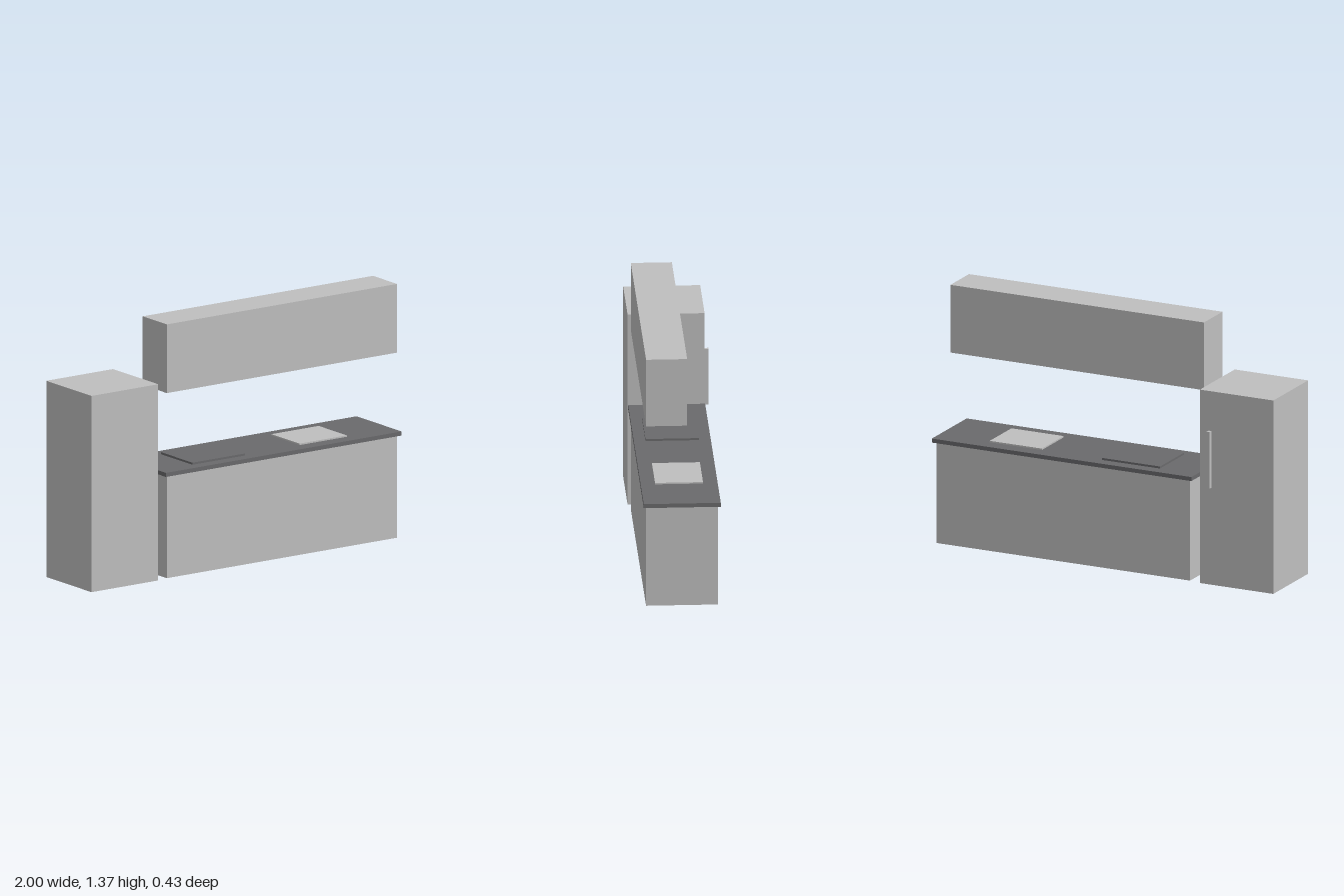
import * as THREE from 'three';

const light = new THREE.MeshStandardMaterial({ color: 0xbfbfbf });
light.name = 'light grey';
const dark = new THREE.MeshStandardMaterial({ color: 0x6a6a6c });
dark.name = 'dark grey';

// Box given by its extents on each axis
function box(name, material, [x0, x1], [y0, y1], [z0, z1]) {
  const mesh = new THREE.Mesh(new THREE.BoxGeometry(x1 - x0, y1 - y0, z1 - z0), material);
  mesh.position.set((x0 + x1) / 2, (y0 + y1) / 2, (z0 + z1) / 2);
  mesh.name = name;
  return mesh;
}

export function createModel() {
  const kitchen = new THREE.Group();
  kitchen.name = 'kitchen';

  // Refrigerator with a slim handle on its rear face
  const fridge = new THREE.Group();
  fridge.name = 'refrigerator';
  fridge.add(
    box('refrigeratorBody', light, [-1, -0.57], [0, 1.057], [-0.19, 0.213]),
    box('refrigeratorHandle', light, [-0.637, -0.621], [0.53, 0.84], [-0.213, -0.19]),
  );

  // Base unit: cabinet, overhanging worktop and the two fittings on it
  const base = new THREE.Group();
  base.name = 'baseUnit';
  base.add(
    box('baseCabinet', light, [-0.505, 0.98], [0, 0.55], [-0.175, 0.2]),
    box('worktop', dark, [-0.52, 1], [0.55, 0.572], [-0.19, 0.213]),
    box('hob', dark, [-0.305, 0.035], [0.572, 0.583], [-0.128, 0.152]),
    box('sink', light, [0.395, 0.7], [0.572, 0.58], [-0.113, 0.138]),
  );

  // Wall cabinet
  const wall = box('wallCabinet', light, [-0.505, 0.98], [0.997, 1.367], [-0.015, 0.2]);

  kitchen.add(fridge, base, wall);
  return kitchen;
}
